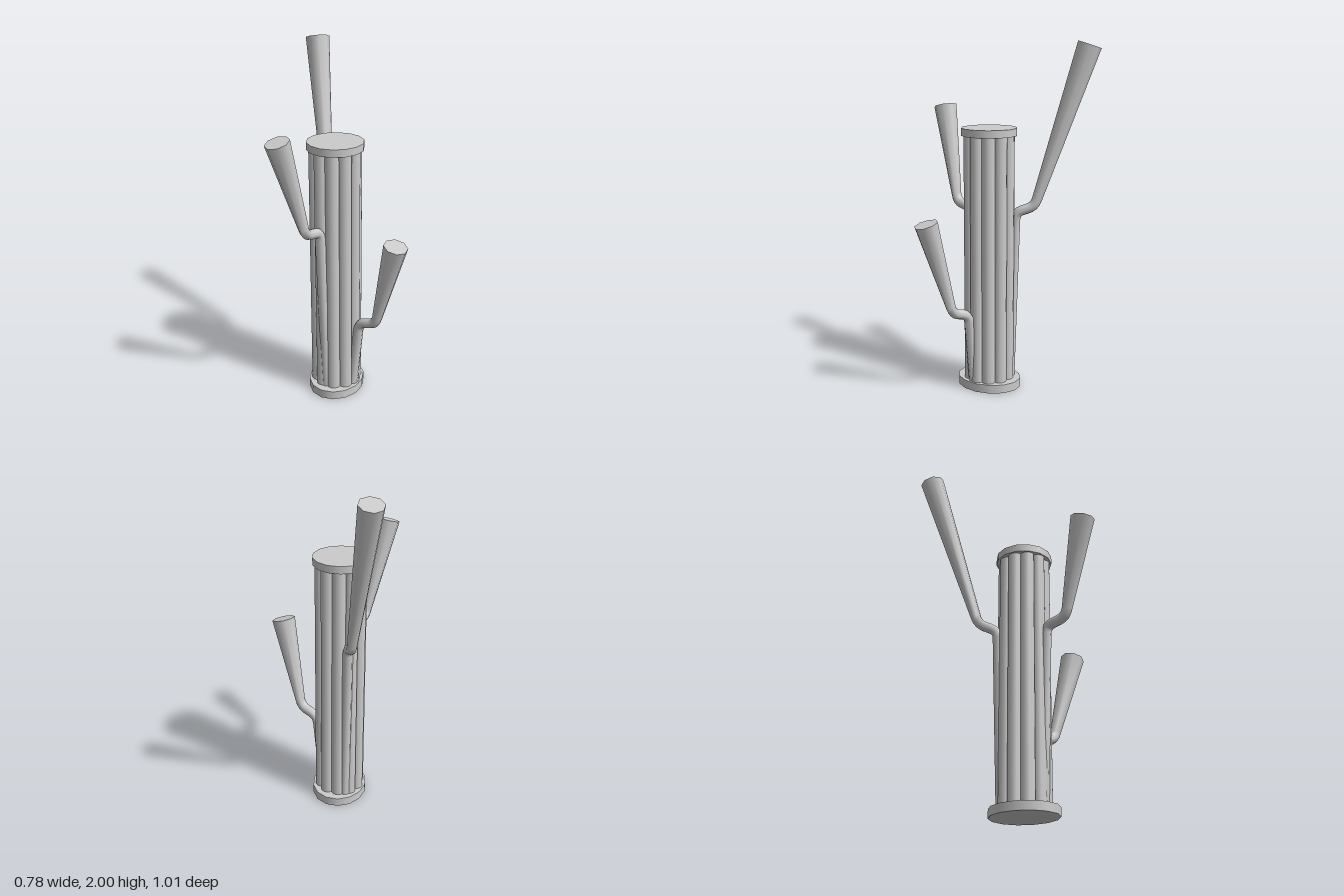
import * as THREE from 'three';

const material = new THREE.MeshStandardMaterial({ color: 0xcccccc });
const CENTER = { x: -0.066, z: 0.045 };
const SIDES = 8;

// Points of a path through root, bend, elbow and tip, with both corners rounded
function roundedPath(corners, fillet) {
  const pts = corners.map((p) => new THREE.Vector3(...p));
  const path = [pts[0]];
  for (let i = 1; i < pts.length - 1; i++) {
    const toward = (q) => pts[i].clone().add(q.clone().sub(pts[i]).setLength(fillet));
    const arc = new THREE.QuadraticBezierCurve3(toward(pts[i - 1]), pts[i], toward(pts[i + 1]));
    path.push(...arc.getPoints(4));
  }
  path.push(pts[pts.length - 1]);
  return path;
}

// Closed octagonal tube: constant radius, then flaring over the last segment
function flaredTube(path, radius, tipRadius) {
  const pos = [], index = [];
  const last = path.length - 1;
  const dirs = path.map((p, i) =>
    path[Math.min(i + 1, last)].clone().sub(path[Math.max(i - 1, 0)]).normalize());
  dirs[last - 1] = dirs[last];
  const up = new THREE.Vector3(0, 1, 0);
  const turn = new THREE.Quaternion().setFromUnitVectors(up, dirs[0]);
  const ring = (i, r) => {
    for (let k = 0; k < SIDES; k++) {
      const a = ((k + 0.5) / SIDES) * Math.PI * 2;
      const v = new THREE.Vector3(Math.sin(a) * r, 0, Math.cos(a) * r);
      v.applyQuaternion(turn).add(path[i]);
      pos.push(v.x, v.y, v.z);
    }
  };
  const cap = (i, r, flip) => {
    const base = pos.length / 3;
    ring(i, r);
    for (let k = 1; k < SIDES - 1; k++) {
      index.push(base, base + (flip ? k + 1 : k), base + (flip ? k : k + 1));
    }
  };
  cap(0, radius, true);
  const start = pos.length / 3;
  for (let i = 0; i <= last; i++) {
    if (i > 0) {
      turn.premultiply(new THREE.Quaternion().setFromUnitVectors(dirs[i - 1], dirs[i]));
    }
    ring(i, i === last ? tipRadius : radius);
  }
  for (let i = 0; i < last; i++) {
    for (let k = 0; k < SIDES; k++) {
      const a = start + i * SIDES + k, b = start + i * SIDES + ((k + 1) % SIDES);
      index.push(a, b, b + SIDES, a, b + SIDES, a + SIDES);
    }
  }
  cap(last, tipRadius, false);
  const geometry = new THREE.BufferGeometry();
  geometry.setAttribute('position', new THREE.Float32BufferAttribute(pos, 3));
  geometry.setIndex(index);
  geometry.computeVertexNormals();
  return geometry;
}

export function createModel() {
  const model = new THREE.Group();
  const add = (name, geometry, parent = model) => {
    const mesh = new THREE.Mesh(geometry, material);
    mesh.name = name;
    parent.add(mesh);
    return mesh;
  };

  // End plates; the base is stretched front to back
  const plate = (name, bottom, top, depthScale) => {
    const g = new THREE.CylinderGeometry(0.159, 0.159, top - bottom, 14, 1, false, Math.PI / 2);
    const mesh = add(name, g);
    mesh.position.set(CENTER.x, (bottom + top) / 2, CENTER.z);
    mesh.scale.z = depthScale;
  };
  plate('basePlate', 0, 0.05, 1.2);
  plate('topPlate', 1.482, 1.525, 1);

  // Trunk: a ring of ten overlapping stems
  const trunk = new THREE.Group();
  trunk.name = 'trunk';
  model.add(trunk);
  for (let i = 0; i < 10; i++) {
    const a = THREE.MathUtils.degToRad(8.5 + 36 * i);
    const stem = add('stem', new THREE.CylinderGeometry(0.04, 0.04, 1.46, 12), trunk);
    stem.position.set(CENTER.x + 0.108 * Math.sin(a), 0.765, CENTER.z + 0.108 * Math.cos(a));
  }

  // Arms climb the trunk, bend outward, then rise and flare
  const arms = {
    leftArm: [[0.045, 0.03, 0.085], [0.088, 0.46, 0.095], [0.197, 0.492, 0.135], [0.326, 1.026, 0.221]],
    frontArm: [[-0.09, 0.03, 0.155], [-0.112, 1.043, 0.187], [-0.15, 1.065, 0.308], [-0.243, 1.618, 0.443]],
    backArm: [[-0.125, 0.03, -0.06], [-0.14, 1.04, -0.085], [-0.183, 1.075, -0.185], [-0.328, 1.982, -0.441]],
  };
  for (const [name, corners] of Object.entries(arms)) {
    add(name, flaredTube(roundedPath(corners, 0.045), 0.029, 0.068));
  }
  return model;
}
